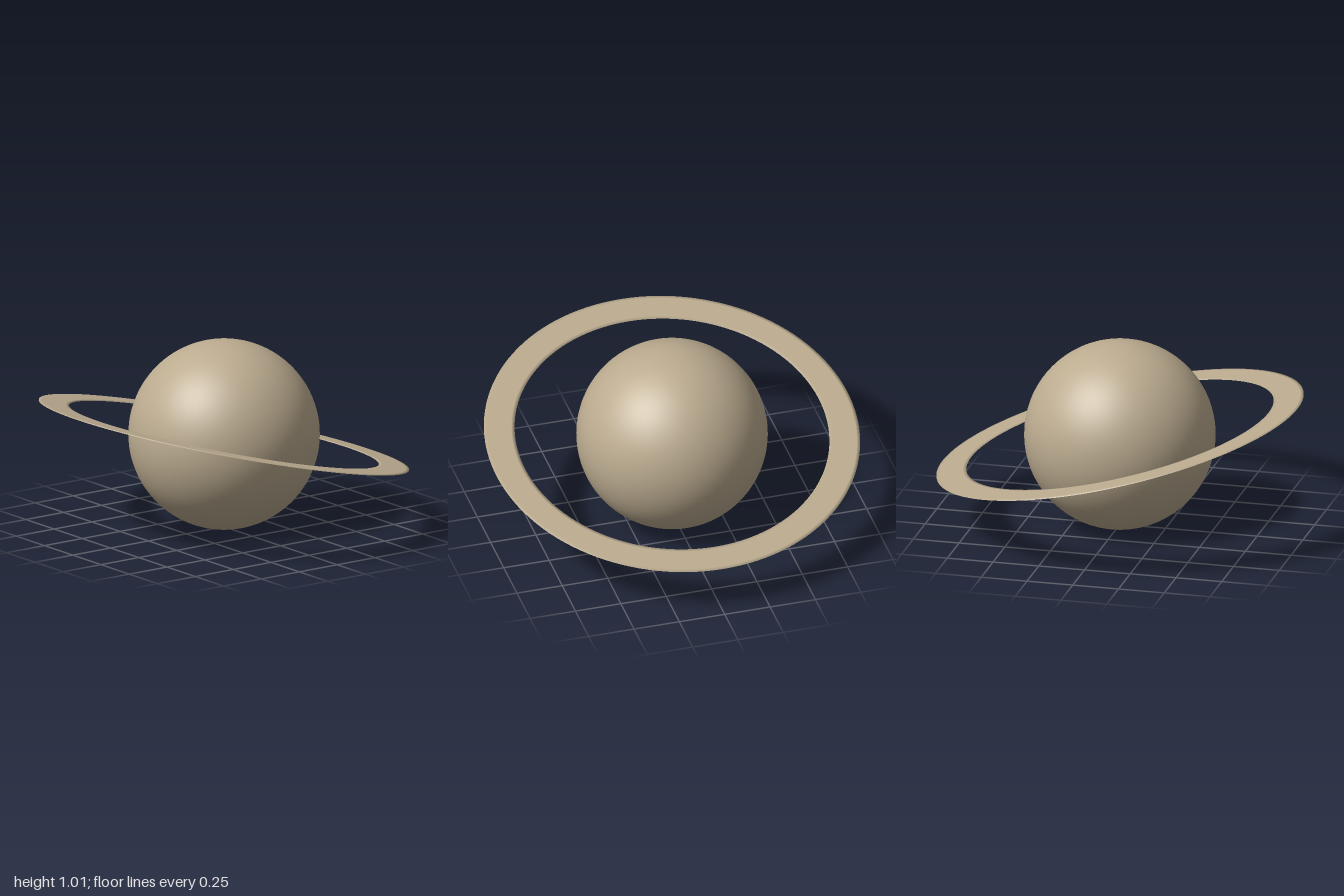
import * as THREE from 'three';

export function createModel() {
  const model = new THREE.Group();
  const sand = new THREE.MeshStandardMaterial({ color: 0xbbab8f, side: THREE.DoubleSide });
  sand.name = 'sand';
  const dark = new THREE.MeshStandardMaterial({ color: 0x2a1a16 });
  dark.name = 'dark brown';
  const centreY = 0.509;

  // Planet body
  const planet = new THREE.Mesh(new THREE.SphereGeometry(0.507, 64, 48), sand);
  planet.name = 'planet';
  planet.position.y = centreY;
  model.add(planet);

  // Ring group, tilted down towards +x
  const ring = new THREE.Group();
  ring.name = 'ring';
  ring.position.y = centreY - 0.001;
  ring.rotation.z = -0.235;
  model.add(ring);

  // Thin sheet with rims rolled slightly down
  const inner = 0.835, outer = 0.998, soft = 0.018, drop = 0.004;
  const profile = [
    [outer, -drop], [outer, -drop / 2], [outer - soft, 0],
    [inner + soft, 0], [inner, -drop / 2], [inner, -drop],
  ].map(([r, y]) => new THREE.Vector2(r, y));
  const sheet = new THREE.LatheGeometry(profile, 128);

  // Rounded shading: rims face sideways, the flat band faces straight up
  const { position, normal } = sheet.attributes;
  for (let i = 0; i < position.count; i++) {
    const x = position.getX(i), z = position.getZ(i), r = Math.hypot(x, z);
    const side = position.getY(i) > -drop / 4 ? 0 : r > (inner + outer) / 2 ? 0.8 : -0.8;
    normal.setXYZ(i, side * x / r, Math.sqrt(1 - side * side), side * z / r);
  }
  const band = new THREE.Mesh(sheet, sand);
  band.name = 'ringBand';
  ring.add(band);

  // Dark edging under both rims
  for (const [name, r0, r1] of [
    ['outerEdging', outer - 0.02, outer], ['innerEdging', inner, inner + 0.014],
  ]) {
    const edging = new THREE.Mesh(new THREE.RingGeometry(r0, r1, 128), dark);
    edging.name = name;
    edging.rotation.x = Math.PI / 2;
    edging.position.y = -drop;
    ring.add(edging);
  }

  return model;
}
